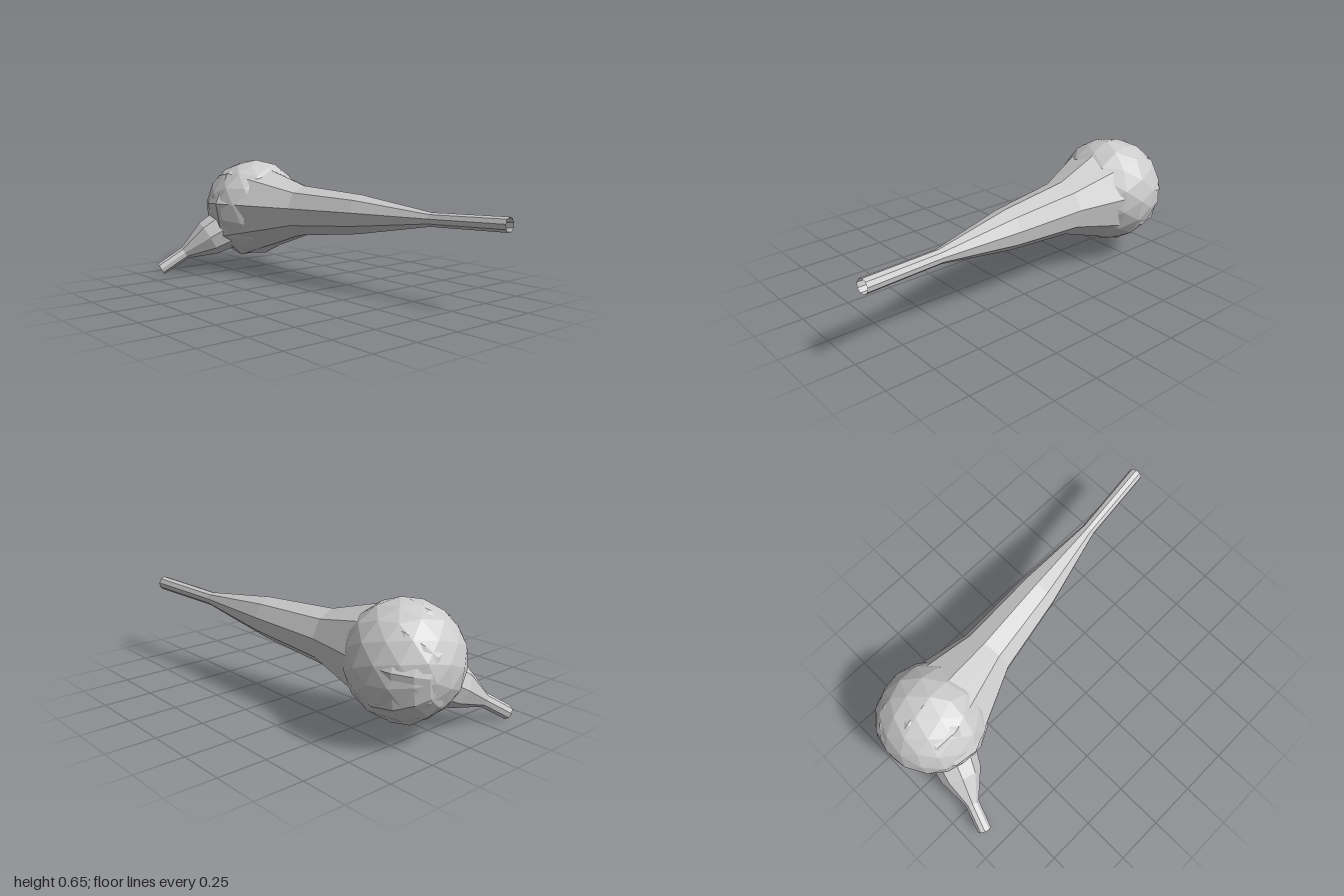
import * as THREE from 'three';

const material = new THREE.MeshStandardMaterial({ color: 0xcccccc, flatShading: true, side: THREE.DoubleSide });

// Open nine-sided tube through rings of [x, y, z, radius], all square to one axis
function loft(rings, axis, sides = 9) {
  const d = new THREE.Vector3(...axis).normalize();
  const u = new THREE.Vector3().crossVectors(d, new THREE.Vector3(0, 1, 0)).normalize();
  const v = new THREE.Vector3().crossVectors(u, d);
  const position = [];
  const index = [];
  rings.forEach(([x, y, z, r], i) => {
    for (let j = 0; j < sides; j++) {
      const a = (j / sides) * Math.PI * 2;
      const p = new THREE.Vector3(x, y, z).addScaledVector(u, r * Math.sin(a)).addScaledVector(v, r * Math.cos(a));
      position.push(p.x, p.y, p.z);
      if (i === 0) continue;
      const k = (j + 1) % sides;
      const a0 = (i - 1) * sides + j, a1 = (i - 1) * sides + k;
      const b0 = i * sides + j, b1 = i * sides + k;
      index.push(a0, a1, b1, a0, b1, b0);
    }
  });
  const g = new THREE.BufferGeometry();
  g.setAttribute('position', new THREE.Float32BufferAttribute(position, 3));
  g.setIndex(index);
  const flat = g.toNonIndexed();
  flat.computeVertexNormals();
  return flat;
}

// Faceted ball, made slightly uneven by a smooth rule so shared corners stay joined
function unevenBall(radius) {
  const g = new THREE.IcosahedronGeometry(radius, 2);
  const p = g.attributes.position;
  const v = new THREE.Vector3();
  for (let i = 0; i < p.count; i++) {
    v.fromBufferAttribute(p, i);
    const bump = Math.sin(v.x * 31 + v.y * 17) * Math.cos(v.z * 29 - v.y * 13);
    v.multiplyScalar(1 + 0.012 * bump);
    p.setXYZ(i, v.x, v.y, v.z);
  }
  g.computeVertexNormals();
  return g;
}

export function createModel() {
  const model = new THREE.Group();
  const add = (name, geometry) => {
    const mesh = new THREE.Mesh(geometry, material);
    mesh.name = name;
    model.add(mesh);
    return mesh;
  };

  // Long tapering arm, closed by a dome at its wide end and open at its tip
  add('longArm', loft([
    [-0.99, 0.36, -0.12, 0.001],
    [-0.955, 0.36, -0.12, 0.14],
    [-0.91, 0.362, -0.121, 0.2],
    [-0.83, 0.364, -0.123, 0.262],
    [-0.72, 0.368, -0.128, 0.285],
    [-0.29, 0.388, -0.19, 0.142],
    [0.125, 0.404, -0.242, 0.106],
    [0.565, 0.419, -0.3, 0.036],
    [0.992, 0.436, -0.35, 0.037],
  ], [1.72, 0.069, -0.227]));

  // Short arm reaching forward and down, open at its tip
  add('shortArm', loft([
    [-0.76, 0.26, 0.03, 0.125],
    [-0.8, 0.203, 0.13, 0.108],
    [-0.858, 0.12, 0.262, 0.037],
    [-0.905, 0.033, 0.394, 0.036],
  ], [-0.145, -0.23, 0.364]));

  // Rounded head breaking through the arm's wide end
  const ball = add('head', unevenBall(0.281));
  ball.position.set(-0.717, 0.376, -0.138);
  ball.rotation.set(0.4, 0.3, 0.2);

  return model;
}
